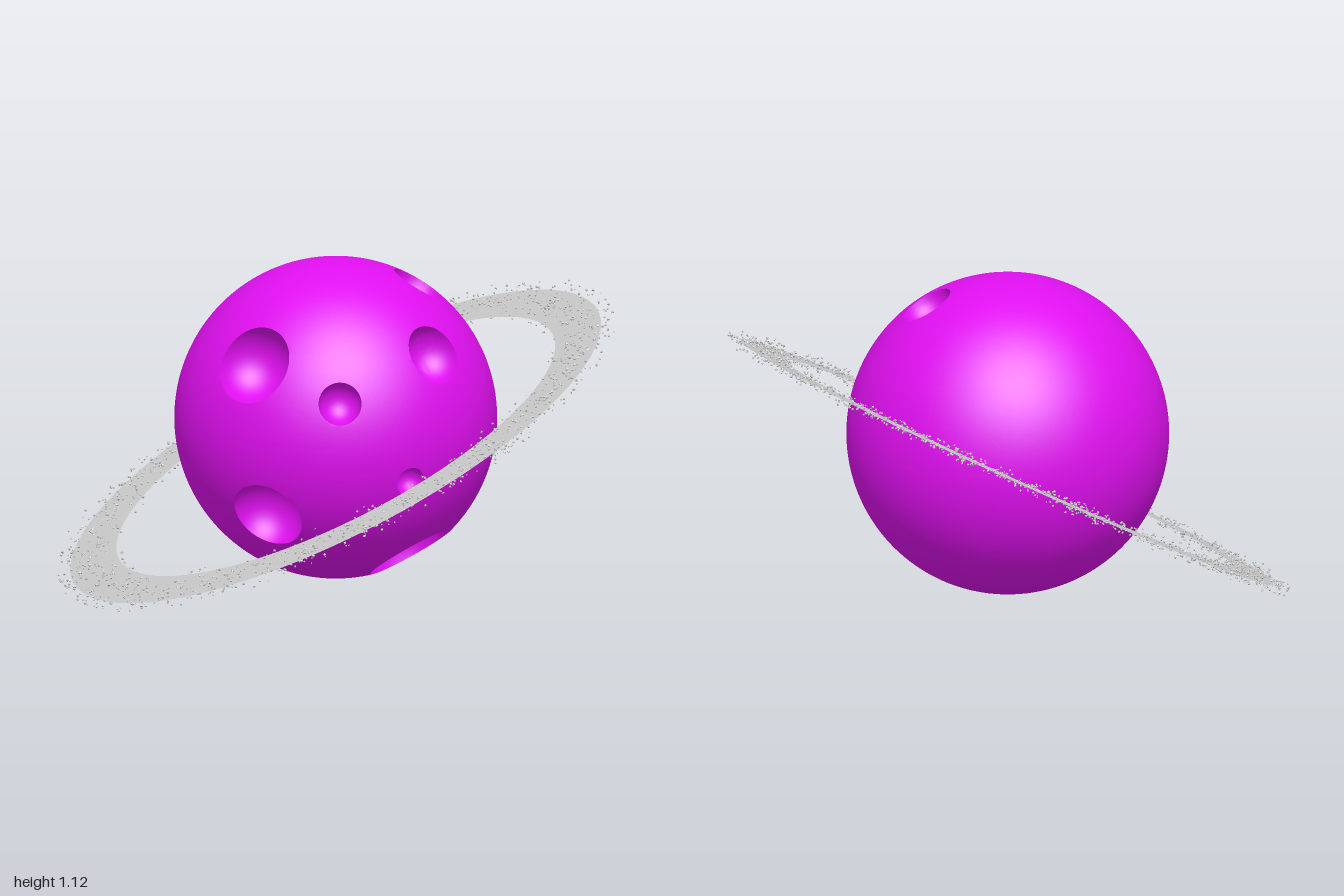
import * as THREE from 'three';
import { mergeGeometries, mergeVertices, toCreasedNormals } from 'three/addons/utils/BufferGeometryUtils.js';

const R = 0.54; // planet radius

// Craters: direction from the planet centre, then rim radius
const craters = [
  [-0.04, 0.275, 0.45, 0.105],
  [0.175, 0.46, 0.215, 0.092],
  [-0.465, 0.255, 0.02, 0.135],
  [-0.395, 0.15, 0.335, 0.072],
  [-0.2, -0.125, 0.475, 0.05],
  [0.05, -0.43, 0.28, 0.155],
  [-0.455, -0.25, 0.075, 0.125],
].map(([x, y, z, r]) => ({ axis: new THREE.Vector3(x, y, z).normalize(), angle: Math.asin(r / R) }));

// Small seeded random generator
function seeded(seed) {
  return () => {
    seed = (seed * 1664525 + 1013904223) % 4294967296;
    return seed / 4294967296;
  };
}

// Sphere whose vertices inside each crater are folded inward onto a round bowl
function crateredSphere() {
  let geo = new THREE.IcosahedronGeometry(R, 60);
  geo.deleteAttribute('normal');
  geo.deleteAttribute('uv');
  geo = mergeVertices(geo, 1e-5);
  const pos = geo.attributes.position;
  const v = new THREE.Vector3();
  const side = new THREE.Vector3();
  const snap = 0.011; // vertices this close to a rim are moved onto it
  for (let i = 0; i < pos.count; i++) {
    v.fromBufferAttribute(pos, i).normalize();
    for (const { axis, angle } of craters) {
      const phi = v.angleTo(axis);
      if (phi > angle + snap) continue;
      const f = phi > angle - snap ? 1 : phi / angle;
      side.copy(v).addScaledVector(axis, -v.dot(axis)).normalize();
      // bowl is part of a ball centred on the planet surface
      const ball = 2 * R * Math.sin(angle / 2);
      const psi = f * (Math.PI / 2 - angle / 2);
      v.copy(axis).multiplyScalar(R - ball * Math.cos(psi)).addScaledVector(side, ball * Math.sin(psi));
      pos.setXYZ(i, v.x, v.y, v.z);
      break;
    }
  }
  return toCreasedNormals(geo, 0.7);
}

// Tiny rocks scattered through and just beyond the ring
function ringRocks(count) {
  const rand = seeded(7);
  const rocks = [];
  for (let i = 0; i < count; i++) {
    const a = rand() * Math.PI * 2;
    const spread = (rand() + rand() + rand()) / 3 - 0.5;
    const r = THREE.MathUtils.clamp(0.925 + spread * 0.36, 0.8, 1.03);
    const h = ((rand() + rand()) - 1) * 0.025;
    const rock = new THREE.OctahedronGeometry(0.003 + rand() * 0.003);
    rock.rotateX(rand() * 3).rotateY(rand() * 3);
    rock.translate(r * Math.cos(a), r * Math.sin(a), h);
    rocks.push(rock);
  }
  return mergeGeometries(rocks);
}

export function createModel() {
  const model = new THREE.Group();
  model.name = 'ringedPlanet';

  // Planet with craters
  const planet = new THREE.Mesh(crateredSphere(), new THREE.MeshStandardMaterial({ color: 0xe010f0 }));
  planet.name = 'planet';
  planet.position.y = 0.565;
  model.add(planet);

  // Tilted ring system
  const ringSystem = new THREE.Group();
  ringSystem.name = 'ringSystem';
  ringSystem.position.y = 0.465;
  ringSystem.quaternion.setFromUnitVectors(
    new THREE.Vector3(0, 0, 1),
    new THREE.Vector3(-0.372, 0.89, -0.264).normalize(),
  );
  const ring = new THREE.Mesh(
    new THREE.RingGeometry(0.817, 0.988, 160, 1),
    new THREE.MeshStandardMaterial({ color: 0xcccccc, side: THREE.DoubleSide }),
  );
  ring.name = 'ring';
  const rocks = new THREE.Mesh(
    ringRocks(2200),
    new THREE.MeshStandardMaterial({ color: 0xcccccc, flatShading: true }),
  );
  rocks.name = 'ringRocks';
  ringSystem.add(ring, rocks);
  model.add(ringSystem);

  return model;
}
